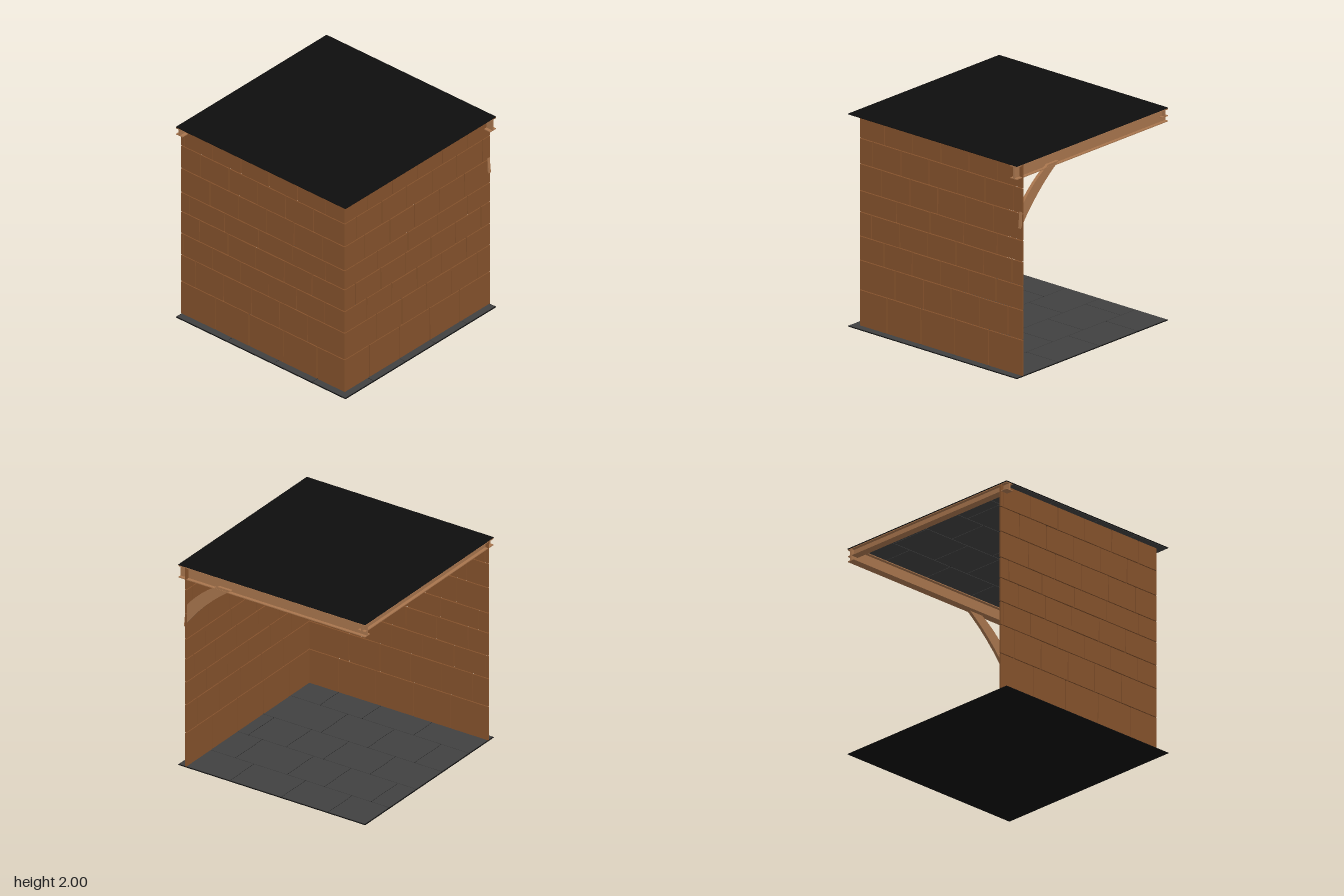
import * as THREE from 'three';

const material = (name, color) => {
  const m = new THREE.MeshStandardMaterial({ color });
  m.name = name;
  return m;
};

export function createModel() {
  const root = new THREE.Group();
  root.name = 'brickRoom';
  const brickBrown = material('brickBrown', 0x85522c);
  const woodTan = material('woodTan', 0xa8754d);
  const slateGrey = material('slateGrey', 0x404040);
  const black = material('black', 0x0d0d0d);

  // Small seeded generator for uneven joints
  let seed = 7;
  const jitter = (amount) => {
    seed = (seed * 16807) % 2147483647;
    return (seed / 2147483647 - 0.5) * 2 * amount;
  };

  const box = (name, mat, x0, x1, y0, y1, z0, z1, parent = root) => {
    const mesh = new THREE.Mesh(new THREE.BoxGeometry(x1 - x0, y1 - y0, z1 - z0), mat);
    mesh.position.set((x0 + x1) / 2, (y0 + y1) / 2, (z0 + z1) / 2);
    mesh.name = name;
    parent.add(mesh);
    return mesh;
  };

  // Skews a box within its own plane, keeping its faces flat
  const skew = (mesh, amount) => {
    const p = mesh.geometry.attributes.position;
    const shift = {};
    for (let i = 0; i < p.count; i++) {
      const key = `${p.getX(i) > 0}${p.getY(i) > 0}`;
      shift[key] ??= [jitter(amount), jitter(amount * 0.5)];
      p.setXY(i, p.getX(i) + shift[key][0], p.getY(i) + shift[key][1]);
    }
    mesh.geometry.computeVertexNormals();
  };

  // Courses of bricks: heights of the bed joints and positions of the upright joints
  const courses = [0.01, 0.346, 0.626, 0.852, 1.08, 1.28, 1.532, 1.772, 1.995];
  const joints = [
    [-0.6, -0.2, 0.2, 0.6],
    [-0.835, -0.505, -0.17, 0.157, 0.49, 0.83],
    [-0.97, -0.635, -0.303, 0.03, 0.36, 0.69],
    [-0.785, -0.45, -0.12, 0.213, 0.543, 0.88],
    [-0.9, -0.49, -0.09, 0.305, 0.703],
    [-0.66, -0.33, 0, 0.33, 0.663],
    [-0.77, -0.435, -0.105, 0.23, 0.56, 0.9],
    [-0.965, -0.63, -0.295, 0.037, 0.37, 0.703],
  ];

  // One thin wall facing +z, keeping the joints between first and last
  const wall = (name, from, to, first, last) => {
    const group = new THREE.Group();
    group.name = name;
    const gap = 0.0042;
    joints.forEach((row, r) => {
      const xs = [from, ...row.filter((x) => x > first && x < last), to];
      for (let i = 0; i < xs.length - 1; i++) {
        const x0 = xs[i] + (i ? gap : 0);
        const x1 = xs[i + 1] - (i < xs.length - 2 ? gap : 0);
        const brick = box('brick', brickBrown, x0, x1,
          courses[r] + (r ? gap : 0), courses[r + 1] - gap, 0.912, 0.928, group);
        if (i && i < xs.length - 2) skew(brick, 0.003);
      }
    });
    root.add(group);
    return group;
  };
  wall('frontWall', -1, 0.922, -0.98, 0.8);
  wall('sideWall', -0.922, 1, -0.8, 0.95).rotation.y = Math.PI / 2;

  // Floor and ceiling slabs
  box('floorSlab', black, -1, 1, 0, 0.005, -1, 1);
  box('roofSlab', black, -1, 1, 1.995, 2, -1, 1);

  // Staggered slate tiles on the floor and under the roof
  const tileRows = [-0.995, -0.62, -0.2, 0.2, 0.62, 0.995];
  const tileJoints = [
    [-0.6, -0.1, 0.45],
    [-0.8, -0.3, 0.1, 0.65],
    [-0.5, 0, 0.4, 0.8],
    [-0.7, -0.2, 0.3],
    [-0.4, 0.15, 0.6],
  ];
  const tiles = (name, y0, y1) => {
    const group = new THREE.Group();
    group.name = name;
    tileJoints.forEach((row, r) => {
      const xs = [-0.995, ...row, 0.995];
      for (let i = 0; i < xs.length - 1; i++) {
        box('tile', slateGrey, xs[i] + 0.003, xs[i + 1] - 0.003, y0, y1,
          tileRows[r] + 0.003, tileRows[r + 1] - 0.003, group);
      }
    });
    root.add(group);
  };
  tiles('floorTiles', 0.005, 0.009);
  tiles('ceilingTiles', 1.991, 1.995);

  // I-section beam along x under the roof edge at z = -1
  const beam = (name, bottom) => {
    const group = new THREE.Group();
    group.name = name;
    box('web', woodTan, -0.998, 0.998, bottom, 1.99, -0.968, -0.952, group);
    box('bottomFlange', woodTan, -0.998, 0.998, bottom, bottom + 0.008, -0.998, -0.922, group);
    box('topFlange', woodTan, -0.998, 0.998, 1.983, 1.991, -0.998, -0.922, group);
    root.add(group);
    return group;
  };
  beam('backBeam', 1.87);
  beam('sideBeam', 1.92).rotation.y = Math.PI / 2;

  // Curved brace from the side wall up to the back beam
  const outline = new THREE.Shape();
  outline.moveTo(0.943, 1.395);
  outline.lineTo(0.922, 1.61);
  outline.quadraticCurveTo(0.78, 1.79, 0.58, 1.9);
  outline.lineTo(0.44, 1.9);
  outline.quadraticCurveTo(0.74, 1.69, 0.943, 1.395);
  const brace = new THREE.Mesh(
    new THREE.ExtrudeGeometry(outline, { depth: 0.03, bevelEnabled: false, curveSegments: 6 }),
    woodTan);
  brace.position.z = -0.995;
  brace.name = 'curvedBrace';
  root.add(brace);

  return root;
}
